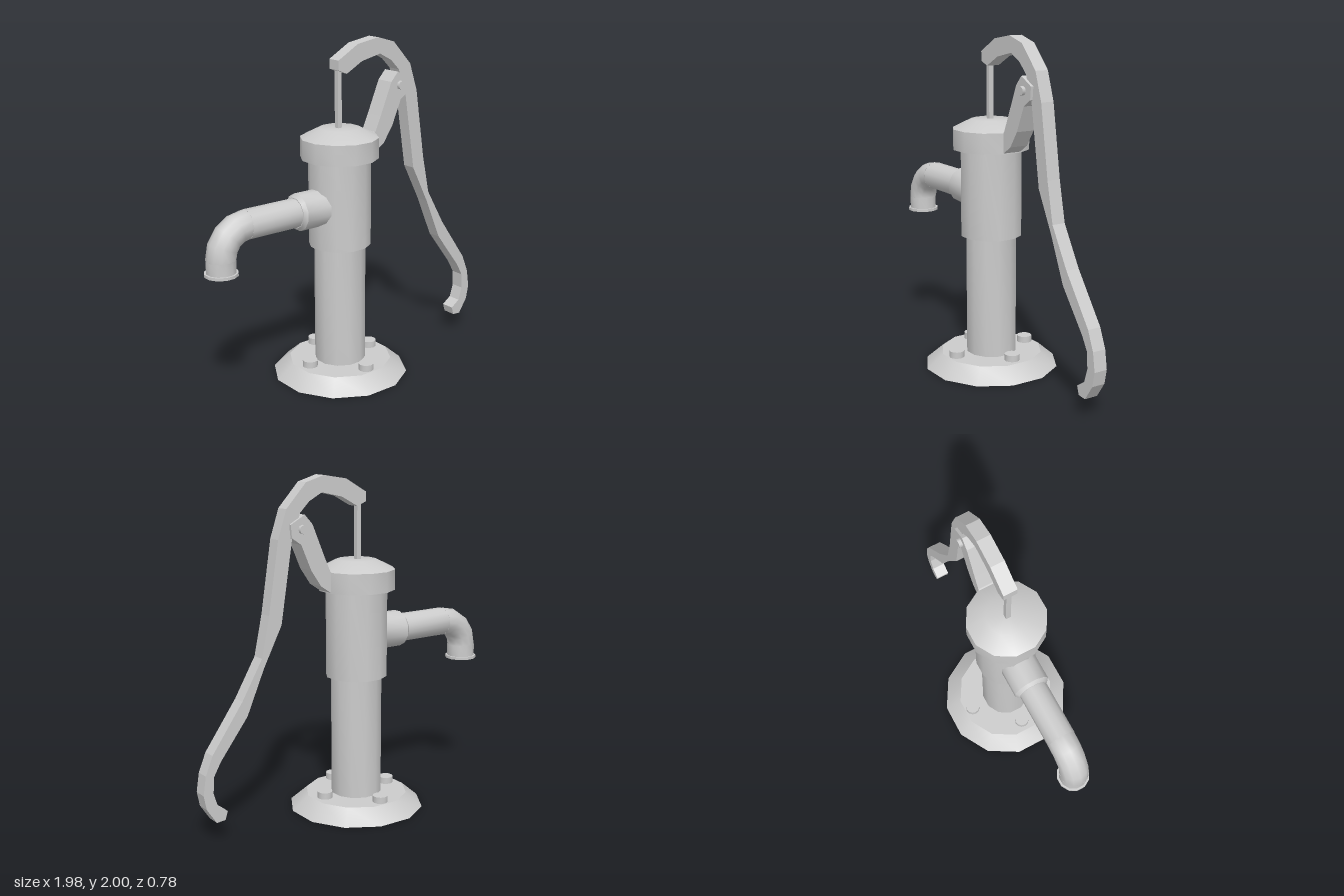
import * as THREE from 'three';
import { toCreasedNormals } from 'three/addons/utils/BufferGeometryUtils.js';

const SIDES = 12;
const AXIS_X = -0.072; // centre line of the pump body
const material = new THREE.MeshStandardMaterial({ color: 0xcccccc, side: THREE.DoubleSide });

export function createModel() {
  const group = new THREE.Group();
  group.name = 'handPump';

  const add = (name, geometry, x = 0, y = 0, z = 0) => {
    const mesh = new THREE.Mesh(geometry, material);
    mesh.name = name;
    mesh.position.set(x, y, z);
    group.add(mesh);
    return mesh;
  };

  // Twelve-sided turned part, with a flat facing the front
  const turned = (profile) => toCreasedNormals(
    new THREE.LatheGeometry(profile.map(([r, y]) => new THREE.Vector2(r, y)), SIDES, Math.PI / SIDES), 0.6);

  // Flat outline given thickness along z, centred on z = 0
  const plate = (outline, depth) => {
    const shape = new THREE.Shape(outline.map(([x, y]) => new THREE.Vector2(x, y)));
    return new THREE.ExtrudeGeometry(shape, { depth, bevelEnabled: false }).translate(0, 0, -depth / 2);
  };

  // Body, open underneath
  add('baseFlange', turned([[0.405, 0], [0.307, 0.085], [0.152, 0.085]]), AXIS_X);
  add('standPipe', turned([[0.152, 0.085], [0.152, 0.81]]), AXIS_X);
  add('barrel', turned([[0.152, 0.81], [0.183, 0.81], [0.183, 1.33]]), AXIS_X);
  add('cap', turned([[0.18, 1.33], [0.228, 1.33], [0.228, 1.45], [0.118, 1.505], [0, 1.505]]), AXIS_X);

  // Four bolts through the flange
  for (const [x, z] of [[0.228, 0], [-0.228, 0], [0, 0.246], [0, -0.246]]) {
    const bolt = toCreasedNormals(new THREE.CylinderGeometry(0.045, 0.045, 0.052, SIDES), 0.6);
    add('bolt', bolt, AXIS_X + x, 0.098, z);
  }

  // Spout: collar, straight pipe, quarter bend and lipped mouth
  const spoutY = 1.058, bendX = -0.73, bendRadius = 0.166, pipeRadius = 0.085;
  const collar = add('spoutCollar',
    turned([[0.08, 0.4], [0.09, 0.4], [0.109, 0.38], [0.109, 0.21]]), 0, spoutY);
  collar.rotation.z = Math.PI / 2;
  const pipe = add('spoutPipe', turned([[pipeRadius, 0.2], [pipeRadius, -bendX]]), 0, spoutY);
  pipe.rotation.z = Math.PI / 2;
  const bend = add('spoutBend',
    new THREE.TorusGeometry(bendRadius, pipeRadius, SIDES, 4, Math.PI / 2), bendX, spoutY - bendRadius);
  bend.rotation.z = Math.PI / 2;
  add('spoutMouth', turned([
    [0.07, 0.9], [0.07, 0.803], [0.096, 0.803], [0.096, 0.82], [pipeRadius, 0.82], [pipeRadius, 0.892],
  ]), bendX - bendRadius);

  // Piston rod
  add('pistonRod', new THREE.BoxGeometry(0.027, 0.4, 0.03), -0.08, 1.67);

  // Bracket carrying the handle
  add('handleBracket', plate([
    [0.08, 1.33], [0.14, 1.33], [0.215, 1.38], [0.28, 1.475], [0.345, 1.625], [0.405, 1.665],
    [0.412, 1.74], [0.32, 1.79], [0.27, 1.735], [0.19, 1.545], [0.15, 1.455], [0.08, 1.44],
  ], 0.114));

  // Pivot pin
  const pin = add('pivotPin',
    toCreasedNormals(new THREE.CylinderGeometry(0.026, 0.026, 0.154, 8), 0.8), 0.338, 1.71);
  pin.rotation.x = Math.PI / 2;

  // Curved handle: outer edge down, inner edge back up
  add('handle', plate([
    [-0.11, 1.895], [0.03, 1.975], [0.18, 2.0], [0.30, 1.965], [0.43, 1.825], [0.485, 1.66],
    [0.55, 1.245], [0.60, 1.01], [0.73, 0.785], [0.925, 0.51], [0.97, 0.40], [0.987, 0.29],
    [0.97, 0.205], [0.91, 0.115], [0.855, 0.12], [0.84, 0.17], [0.90, 0.21], [0.925, 0.29],
    [0.92, 0.385], [0.875, 0.465], [0.70, 0.695], [0.59, 0.95], [0.47, 1.185], [0.395, 1.655],
    [0.34, 1.80], [0.28, 1.86], [0.195, 1.905], [0.06, 1.875], [-0.05, 1.815], [-0.11, 1.84],
  ], 0.082));

  return group;
}
